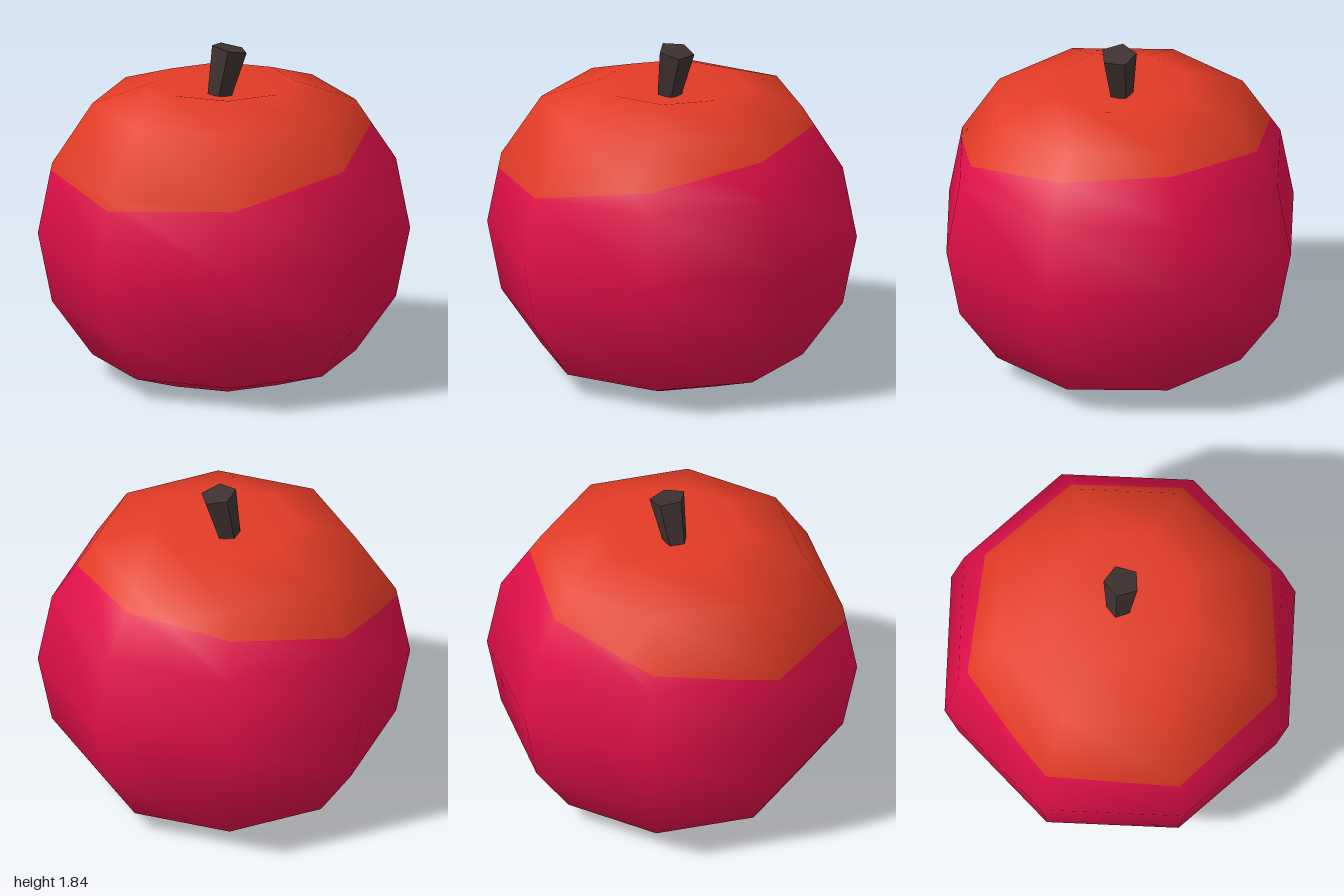
import * as THREE from 'three';
import { mergeVertices } from 'three/addons/utils/BufferGeometryUtils.js';

const red = new THREE.MeshStandardMaterial({ color: 0xe00f48 });
red.name = 'red skin';
const orange = new THREE.MeshStandardMaterial({ color: 0xe23b26 });
orange.name = 'orange blush';
const brown = new THREE.MeshStandardMaterial({ color: 0x3f3131 });
brown.name = 'stem brown';

// Heights of the rings from the dipped top pole to the bottom pole
const RING_Y = [1.55, 1.63, 1.52, 1.19, 0.8, 0.42, 0.12, 0.01, 0];

// Eight-sided ball with flattened ends and smooth normals
function fruitGeometry() {
  const g = new THREE.SphereGeometry(1, 8, 8);
  const p = g.attributes.position;
  for (let i = 0; i < p.count; i++) p.setY(i, RING_Y[Math.floor(i / 9)]);
  g.deleteAttribute('uv');
  g.deleteAttribute('normal');
  const merged = mergeVertices(g, 1e-4);
  merged.computeVertexNormals();
  return merged.toNonIndexed();
}

// Height above the tilted edge of the blush
const aboveEdge = (v) => v.y - (1.28 + 0.01 * v.x - 0.185 * v.z);

// Keep the part of the surface on one side of the tilted edge
function clip(geometry, side) {
  const p = geometry.attributes.position, n = geometry.attributes.normal;
  const positions = [], normals = [];
  for (let i = 0; i < p.count; i += 3) {
    const tri = [0, 1, 2].map((k) => {
      const pos = new THREE.Vector3().fromBufferAttribute(p, i + k);
      const nor = new THREE.Vector3().fromBufferAttribute(n, i + k);
      return { pos, nor, d: side * aboveEdge(pos) };
    });
    const poly = [];
    tri.forEach((a, k) => {
      const b = tri[(k + 1) % 3];
      if (a.d >= 0) poly.push(a);
      if (a.d >= 0 !== b.d >= 0) {
        const t = a.d / (a.d - b.d);
        poly.push({
          pos: a.pos.clone().lerp(b.pos, t),
          nor: a.nor.clone().lerp(b.nor, t).normalize(),
        });
      }
    });
    for (let k = 1; k + 1 < poly.length; k++) {
      for (const v of [poly[0], poly[k], poly[k + 1]]) {
        positions.push(...v.pos.toArray());
        normals.push(...v.nor.toArray());
      }
    }
  }
  const out = new THREE.BufferGeometry();
  out.setAttribute('position', new THREE.Float32BufferAttribute(positions, 3));
  out.setAttribute('normal', new THREE.Float32BufferAttribute(normals, 3));
  return out;
}

// Five-sided leaning stem, wider at the top
function makeStem() {
  const base = new THREE.Vector3(-0.02, 1.5, 0.03);
  const top = new THREE.Vector3(0.02, 1.815, -0.025);
  const axis = top.clone().sub(base);
  const g = new THREE.CylinderGeometry(0.1, 0.06, axis.length(), 5, 1, false, Math.PI).toNonIndexed();
  g.computeVertexNormals();
  const stem = new THREE.Mesh(g, brown);
  stem.name = 'stem';
  stem.position.copy(base).add(top).multiplyScalar(0.5);
  stem.quaternion.setFromUnitVectors(new THREE.Vector3(0, 1, 0), axis.normalize());
  return stem;
}

export function createModel() {
  const group = new THREE.Group();
  group.name = 'apple';
  const fruit = fruitGeometry();

  const body = new THREE.Mesh(clip(fruit, -1), red);
  body.name = 'body';
  const blush = new THREE.Mesh(clip(fruit, 1), orange);
  blush.name = 'blush';

  group.add(body, blush, makeStem());
  return group;
}
